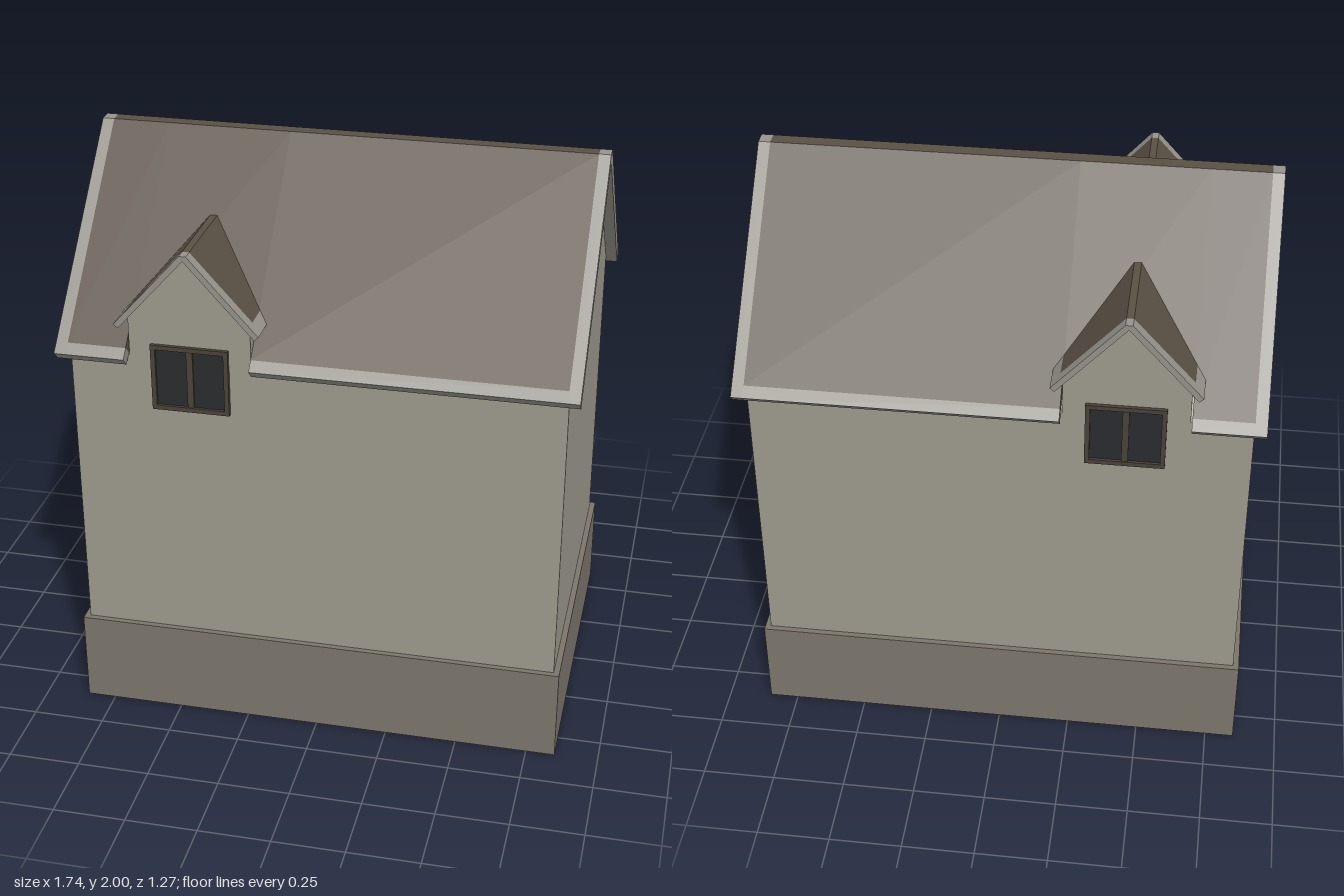
import * as THREE from 'three';

const mat = (color) => new THREE.MeshStandardMaterial({ color, side: THREE.DoubleSide });

export function createModel() {
  const house = new THREE.Group();
  const plaster = mat(0x9c998c), stone = mat(0x7b756b), tiles = mat(0x5a5044),
    trim = mat(0x95928a), wood = mat(0x4a4238), glass = mat(0x2a2b2e);

  const add = (parent, name, geometry, material) => {
    const mesh = new THREE.Mesh(geometry, material);
    mesh.name = name;
    parent.add(mesh);
    return mesh;
  };
  // Prism from an outline, running from z0 to z1
  const prism = (pts, z0, z1, hole) => {
    const shape = new THREE.Shape(pts.map(([x, y]) => new THREE.Vector2(x, y)));
    if (hole) shape.holes.push(new THREE.Path(hole.map(([x, y]) => new THREE.Vector2(x, y))));
    return new THREE.ExtrudeGeometry(shape, { depth: z1 - z0, bevelEnabled: false }).translate(0, 0, z0);
  };
  // Prism from a (z, y) outline, running from x0 to x1
  const prismX = (pts, x0, x1) => prism(pts, 0, x1 - x0).rotateY(-Math.PI / 2).translate(x1, 0, 0);
  // Completes a right-hand outline with its mirror image
  const mirror = (pts) => [...pts, ...pts.filter(([x]) => x > 0).reverse().map(([x, y]) => [-x, y])];
  const flip = (pts, s) => pts.map(([x, y]) => [x * s, y]);
  const rect = (x0, y0, x1, y1) => [[x0, y0], [x1, y0], [x1, y1], [x0, y1]];

  // Plinth: four walls and a top, open underneath
  const plinth = new THREE.Group();
  plinth.name = 'plinth';
  house.add(plinth);
  for (const s of [-1, 1]) {
    add(plinth, 'plinthLongSide', new THREE.PlaneGeometry(1.7, 0.33).rotateY(s > 0 ? 0 : Math.PI)
      .translate(0, 0.165, s * 0.6), stone);
    add(plinth, 'plinthShortSide', new THREE.PlaneGeometry(1.2, 0.33).rotateY(s * Math.PI / 2)
      .translate(s * 0.85, 0.165, 0), stone);
  }
  add(plinth, 'plinthTop', new THREE.PlaneGeometry(1.7, 1.2).rotateX(-Math.PI / 2).translate(0, 0.33, 0), stone);

  // Walls with gable ends
  add(house, 'walls', prismX([[-0.58, 0.33], [0.58, 0.33], [0.58, 1.385], [0, 1.965], [-0.58, 1.385]], -0.83, 0.83), plaster);

  // Roof: a chevron cut off at the eave; z is the outer edge of the slope
  const chevron = (z) => [
    [0, 1.965], [z - 0.03, 1.995 - z], [z, 2.025 - z], [0.025, 2],
    [-0.025, 2], [-z, 2.025 - z], [-z + 0.03, 1.995 - z],
  ];
  const dormerX = -0.418, notch = [-0.63, -0.206];
  const roof = new THREE.Group();
  roof.name = 'roof';
  house.add(roof);
  add(roof, 'roofTiles', prismX(chevron(0.605), -0.83, notch[0]), tiles);
  add(roof, 'roofTilesBetweenDormers', prismX(chevron(0.55), ...notch), tiles);
  add(roof, 'roofTiles', prismX(chevron(0.605), notch[1], 0.83), tiles);
  for (const s of [-1, 1]) {
    add(roof, 'gableTrim', prismX(chevron(0.635), s > 0 ? 0.83 : -0.87, s > 0 ? 0.87 : -0.83), trim);
    const eave = flip([[0.575, 1.39], [0.605, 1.36], [0.635, 1.39], [0.605, 1.42]], s);
    add(roof, 'eaveTrim', prismX(eave, -0.83, notch[0]), trim);
    add(roof, 'eaveTrim', prismX(eave, notch[1], 0.83), trim);
  }

  // Dormer with window, facing +z
  const makeDormer = (name) => {
    const dormer = new THREE.Group();
    dormer.name = name;
    add(dormer, 'dormerWall', prism(mirror([[0, 1.753], [0.207, 1.522], [0.207, 1.36]]), 0.25, 0.583), plaster);
    add(dormer, 'dormerRoof', prism(mirror([[0, 1.753], [0.2, 1.53], [0.215, 1.543], [0.012, 1.77], [0, 1.77]]), 0.24, 0.58), tiles);
    add(dormer, 'dormerFrontTrim', prism(mirror([[0, 1.753], [0.23, 1.497], [0.245, 1.51], [0.012, 1.77], [0, 1.77]]), 0.58, 0.62), trim);
    for (const s of [-1, 1]) {
      add(dormer, 'dormerEaveTrim',
        prism(flip([[0.2, 1.53], [0.23, 1.497], [0.245, 1.51], [0.215, 1.543]], s), 0.4, 0.58), trim);
    }
    // Window frame, mullion and panes
    add(dormer, 'windowFrame', prism(rect(-0.132, 1.2, 0.132, 1.435), 0.57, 0.596, rect(-0.116, 1.216, 0.116, 1.419)), wood);
    add(dormer, 'mullion', prism(rect(-0.011, 1.216, 0.011, 1.419), 0.57, 0.592), wood);
    for (const s of [-1, 1]) {
      add(dormer, 'windowPane', new THREE.PlaneGeometry(0.105, 0.203).translate(s * 0.0635, 1.3175, 0.586), glass);
    }
    dormer.position.x = dormerX;
    house.add(dormer);
    return dormer;
  };
  makeDormer('frontDormer');
  makeDormer('backDormer').rotation.y = Math.PI;

  return house;
}
